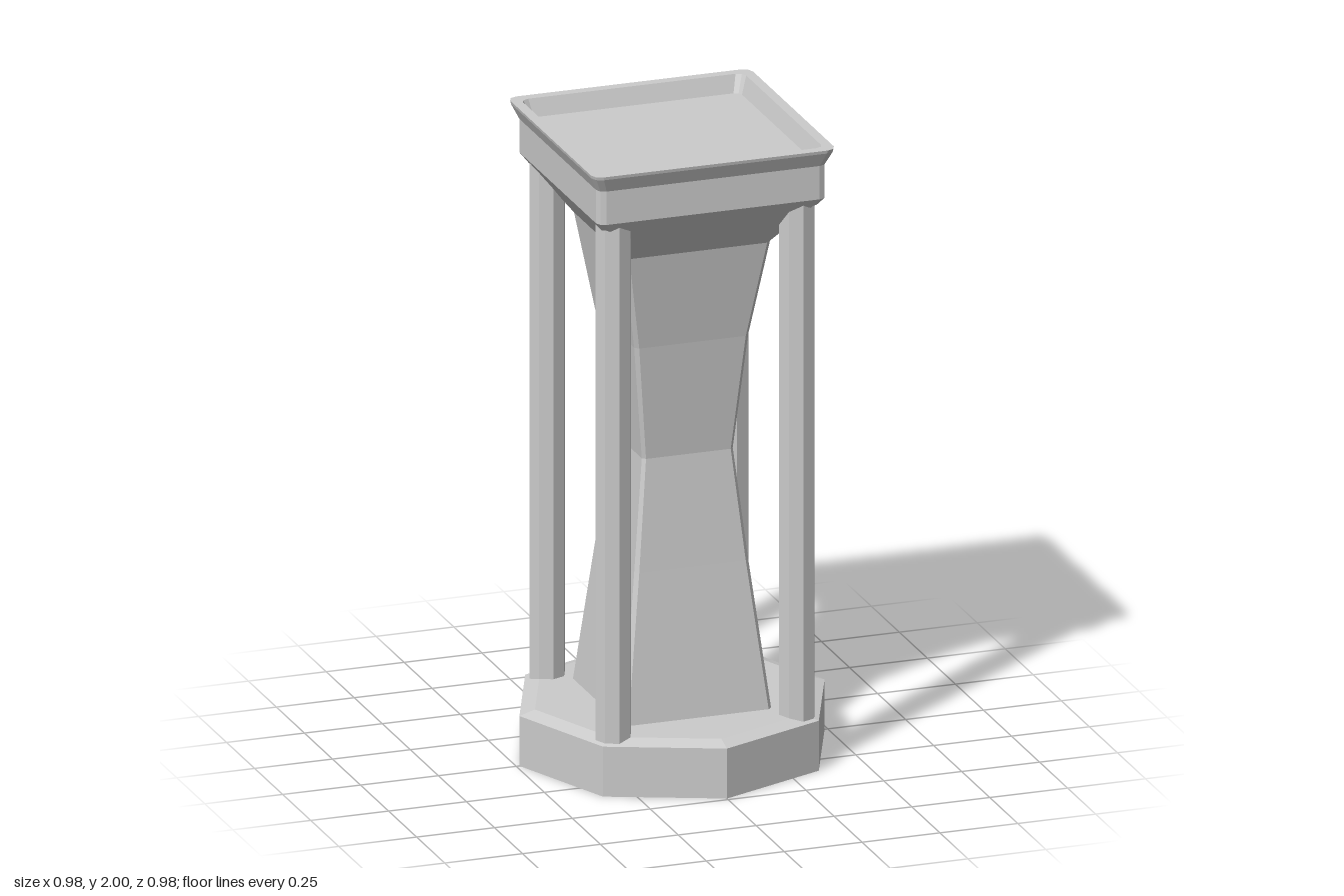
import * as THREE from 'three';

const material = new THREE.MeshStandardMaterial({ color: 0xcccccc, flatShading: true, side: THREE.DoubleSide });

function addMesh(parent, name, geometry) {
  const mesh = new THREE.Mesh(geometry, material);
  mesh.name = name;
  parent.add(mesh);
  return mesh;
}

// Square outline with half width h and softened corners of radius r, counter-clockwise in x/y
function softSquare(h, r, steps) {
  const points = [];
  for (let corner = 0; corner < 4; corner++) {
    const mid = Math.PI / 4 + corner * Math.PI / 2;
    const cx = Math.sign(Math.cos(mid)) * (h - r), cy = Math.sign(Math.sin(mid)) * (h - r);
    for (let i = 0; i <= steps; i++) {
      const a = corner * Math.PI / 2 + (i / steps) * Math.PI / 2;
      points.push(new THREE.Vector2(cx + r * Math.cos(a), cy + r * Math.sin(a)));
    }
  }
  return points;
}

function octagon(r, cx = 0, cy = 0) {
  return Array.from({ length: 8 }, (_, i) => {
    const a = i * Math.PI / 4;
    return new THREE.Vector2(cx + r * Math.cos(a), cy + r * Math.sin(a));
  });
}

// Skin between successive rings, each { points, y }, listed from bottom to top of the outside
function loft(rings) {
  const n = rings[0].points.length, positions = [], index = [];
  for (const { points, y } of rings) for (const p of points) positions.push(p.x, y, -p.y);
  for (let k = 0; k < rings.length - 1; k++) {
    for (let i = 0; i < n; i++) {
      const a = k * n + i, b = k * n + (i + 1) % n;
      index.push(a, b, b + n, a, b + n, a + n);
    }
  }
  const geometry = new THREE.BufferGeometry();
  geometry.setAttribute('position', new THREE.Float32BufferAttribute(positions, 3));
  geometry.setIndex(index);
  const flat = geometry.toNonIndexed();
  flat.computeVertexNormals();
  return flat;
}

function squareLoft(profile, steps) {
  return loft(profile.map(([h, y, r]) => ({ points: softSquare(h, r, steps), y })));
}

// Flat horizontal plate facing up
function plate(outline, y, hole) {
  const shape = new THREE.Shape(outline);
  if (hole) shape.holes.push(new THREE.Path(hole));
  return new THREE.ShapeGeometry(shape).rotateX(-Math.PI / 2).translate(0, y, 0);
}

export function createModel() {
  const model = new THREE.Group();
  model.name = 'pedestal';

  // Hollow octagonal base with a bevelled top edge, open underneath
  const base = new THREE.Group();
  base.name = 'base';
  model.add(base);
  addMesh(base, 'baseWall', loft([
    { points: octagon(0.49), y: 0 },
    { points: octagon(0.49), y: 0.16 },
    { points: octagon(0.44), y: 0.175 },
  ]));
  addMesh(base, 'basePlate', plate(octagon(0.44), 0.175, softSquare(0.237, 0.012, 1)));

  // Waisted square column, flaring out under the cap
  addMesh(model, 'column', squareLoft([
    [0.237, 0.175, 0.012],
    [0.183, 0.64, 0.012],
    [0.146, 0.99, 0.01],
    [0.183, 1.36, 0.012],
    [0.235, 1.67, 0.014],
    [0.347, 1.812, 0.02],
  ], 1));

  // Cap with bevelled underside, flared rim and a sunken tray
  const cap = new THREE.Group();
  cap.name = 'cap';
  model.add(cap);
  addMesh(cap, 'capShell', squareLoft([
    [0.347, 1.812, 0.02],
    [0.367, 1.838, 0.025],
    [0.367, 1.945, 0.025],
    [0.388, 1.99, 0.03],
    [0.39, 2, 0.03],
    [0.358, 2, 0.025],
    [0.34, 1.945, 0.02],
  ], 2));
  addMesh(cap, 'trayFloor', plate(softSquare(0.34, 0.02, 2), 1.945));

  // Four slim octagonal corner pillars
  for (const x of [-1, 1]) {
    for (const z of [-1, 1]) {
      addMesh(model, 'pillar', loft([
        { points: octagon(0.057), y: 0.155 },
        { points: octagon(0.057), y: 1.83 },
      ])).position.set(x * 0.295, 0, z * 0.295);
    }
  }
  return model;
}
